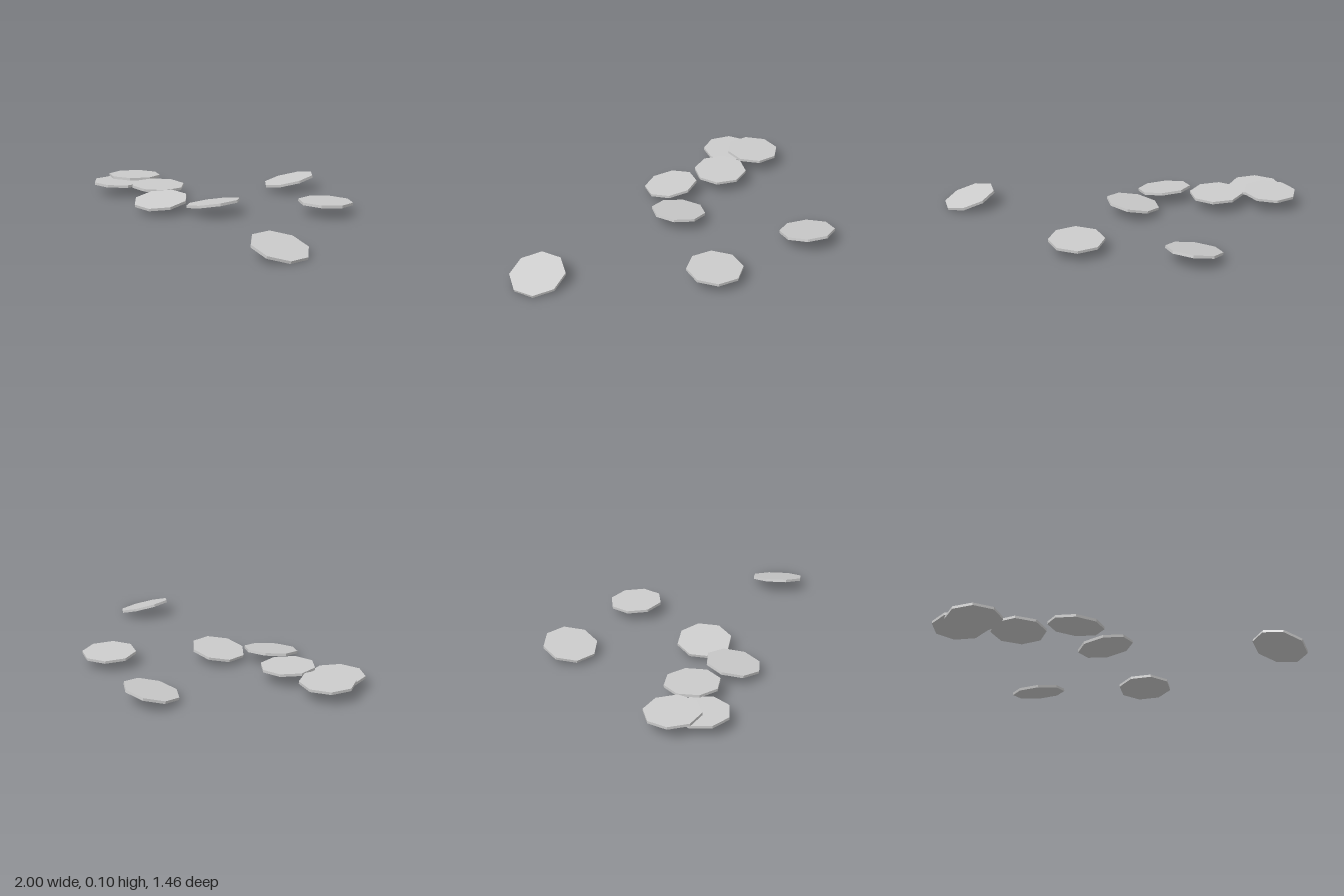
import * as THREE from 'three';

const RADIUS = 0.156;
const THICKNESS = 0.015;

// Each disc: centre x, y, z, spin in degrees, slope along x, slope along z
const DISCS = [
  [-0.14, 0.065, -0.59, 22.5, 0.16, -0.14],
  [0.425, 0.069, -0.275, 13, 0, 0.05],
  [-0.845, 0.083, 0.043, 6, 0.02, 0.04],
  [-0.815, 0.069, 0.19, 21, 0, 0.02],
  [-0.537, 0.079, 0.125, 27.5, -0.03, 0.01],
  [-0.283, 0.064, 0.335, 22.5, -0.04, -0.145],
  [-0.032, 0.062, 0.163, 29, 0.17, 0],
  [0.855, 0.053, 0.574, 25.5, -0.3, 0],
];

export function createModel() {
  const group = new THREE.Group();
  group.name = 'scatteredDiscs';
  const material = new THREE.MeshStandardMaterial({ color: 0xcccccc, flatShading: true });
  const geometry = new THREE.CylinderGeometry(RADIUS, RADIUS, THICKNESS, 8);
  const up = new THREE.Vector3(0, 1, 0);

  // Thin octagonal discs, each spun about its axis and then tilted to its slope
  DISCS.forEach(([x, y, z, spin, slopeX, slopeZ], i) => {
    const disc = new THREE.Mesh(geometry, material);
    disc.name = `disc${i + 1}`;
    const normal = new THREE.Vector3(-slopeX, 1, -slopeZ).normalize();
    const turn = new THREE.Quaternion().setFromAxisAngle(up, -THREE.MathUtils.degToRad(spin));
    disc.quaternion.setFromUnitVectors(up, normal).multiply(turn);
    disc.position.set(x, y, z);
    group.add(disc);
  });
  return group;
}
